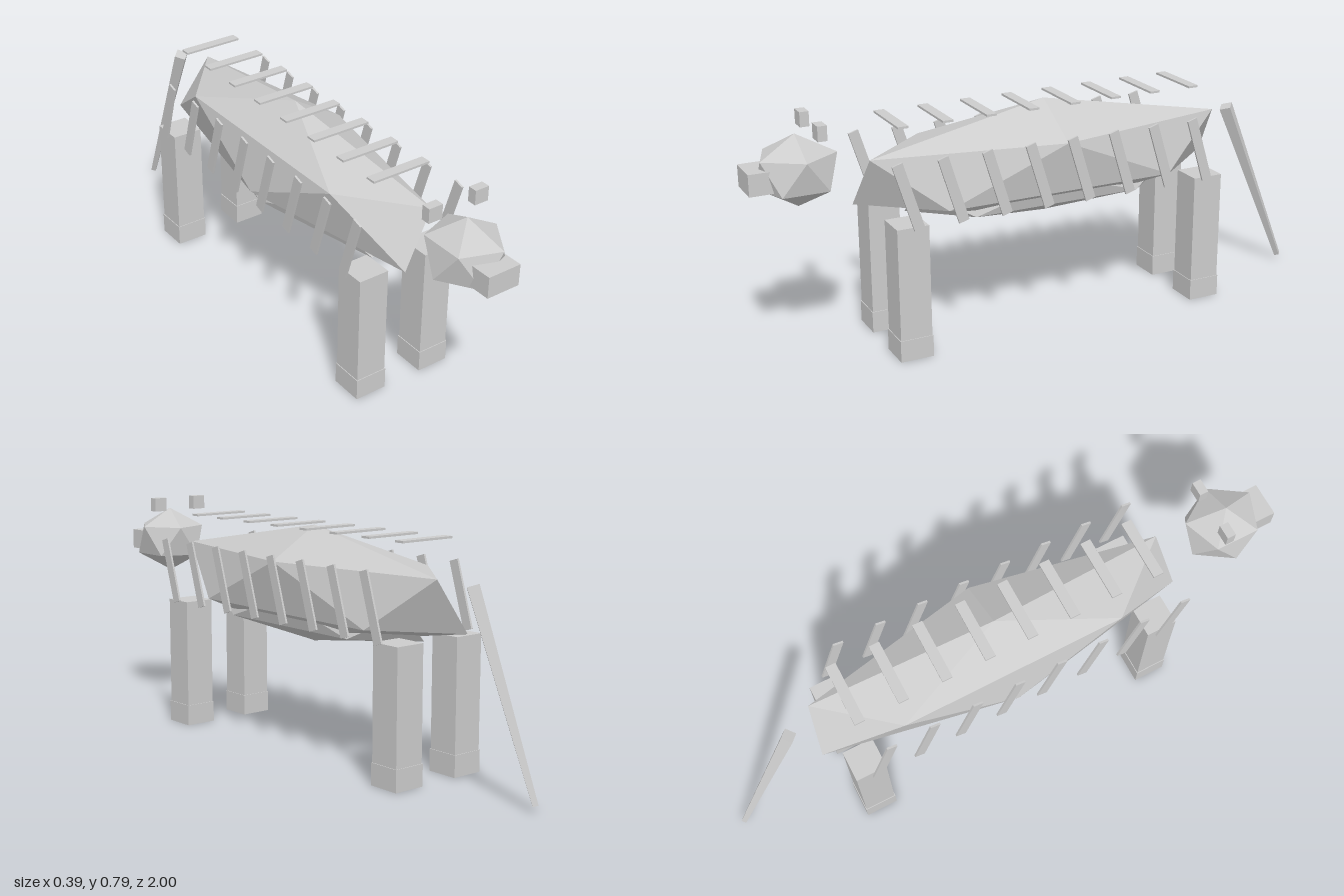
import * as THREE from 'three';
import { ConvexGeometry } from 'three/addons/geometries/ConvexGeometry.js';

export function createModel() {
  const model = new THREE.Group();
  const grey = new THREE.MeshStandardMaterial({ color: 0xcccccc });
  grey.name = 'lightGrey';

  function add(name, geometry, x = 0, y = 0, z = 0, tilt = 0) {
    const mesh = new THREE.Mesh(geometry, grey);
    mesh.name = name;
    mesh.position.set(x, y, z);
    mesh.rotation.x = tilt;
    model.add(mesh);
    return mesh;
  }

  // Faceted ball standing on a point: two poles and two rings of five.
  function facetedBall(rx, ry, rzUpper, rzLower = rzUpper) {
    const points = [new THREE.Vector3(0, ry, 0), new THREE.Vector3(0, -ry, 0)];
    const ring = 2 / Math.sqrt(5);
    for (let i = 0; i < 5; i++) {
      const a = (i * 2 * Math.PI) / 5;
      const c = Math.cos(a) * ring, s = Math.sin(a) * ring;
      points.push(new THREE.Vector3(c * rx, ry * ring / 2, s * rzUpper));
      points.push(new THREE.Vector3(-c * rx, -ry * ring / 2, s * rzLower));
    }
    return new ConvexGeometry(points);
  }

  // Trunk and belly
  add('body', facetedBall(0.198, 0.194, 0.735, 0.763), 0, 0.551, -0.006);
  add('belly', facetedBall(0.16, 0.107, 0.56), 0, 0.465, -0.004);

  // Head, muzzle and ears
  add('head', facetedBall(0.128, 0.116, 0.142), 0, 0.624, 0.835);
  add('muzzle', new THREE.BoxGeometry(0.115, 0.07, 0.08), 0, 0.615, 0.96);
  for (const side of [-1, 1]) {
    add('ear', new THREE.BoxGeometry(0.049, 0.048, 0.03), side * 0.085, 0.761, 0.782);
  }

  // Legs with slightly wider paws
  for (const side of [-1, 1]) {
    for (const z of [0.532, -0.542]) {
      add('leg', new THREE.BoxGeometry(0.106, 0.444, 0.106), side * 0.125, 0.222, z);
      add('paw', new THREE.BoxGeometry(0.111, 0.072, 0.111), side * 0.125, 0.036, z);
    }
  }

  // Eight stripes across the back, each with a slanted pair on the flanks
  for (let i = 0; i < 8; i++) {
    const step = i * 0.149;
    add('backStripe', new THREE.BoxGeometry(0.208, 0.007, 0.035), 0, 0.743, 0.525 - step);
    for (const side of [-1, 1]) {
      add('flankStripe', new THREE.BoxGeometry(0.007, 0.225, 0.035),
        side * 0.192, 0.551, 0.55 - step, 0.3);
    }
  }

  // Tapered four-sided tail
  const tail = new THREE.CylinderGeometry(0.027, 0.012, 0.659, 4).toNonIndexed();
  tail.computeVertexNormals();
  add('tail', tail, 0, 0.32, -0.856, 0.407);

  return model;
}
